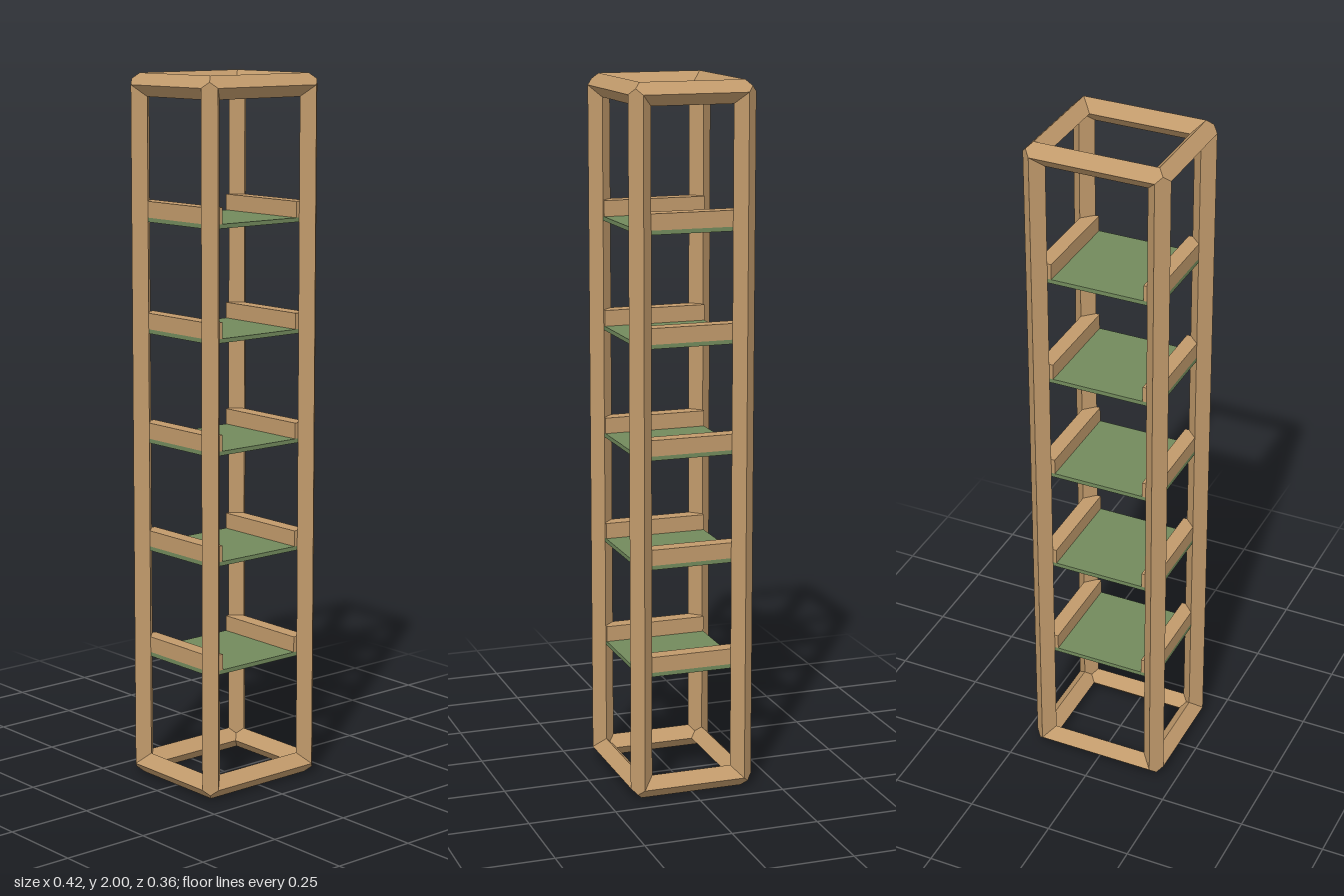
import * as THREE from 'three';
import { ConvexGeometry } from 'three/addons/geometries/ConvexGeometry.js';

const R = 0.032;                       // half diagonal of the diamond bars
const X = 0.176, Z = 0.149;            // bar centre lines
const Y0 = R, Y1 = 2 - R;

const wood = new THREE.MeshStandardMaterial({ color: 0xc19a6b, flatShading: true });
const green = new THREE.MeshStandardMaterial({ color: 0x728a5c, flatShading: true });

// Corner points of a rhombic dodecahedron, the joint where diamond bars meet
function jointPoints(c) {
  const pts = [];
  for (const s of [-1, 1]) {
    pts.push(new THREE.Vector3(s * R, 0, 0), new THREE.Vector3(0, s * R, 0), new THREE.Vector3(0, 0, s * R));
    for (const t of [-1, 1]) for (const u of [-1, 1]) {
      pts.push(new THREE.Vector3(s, t, u).multiplyScalar(R / 2));
    }
  }
  return pts.map((p) => p.add(c));
}

// Diamond-section bar spanning two joints
function bar(name, a, b) {
  const points = [
    ...jointPoints(new THREE.Vector3(...a)),
    ...jointPoints(new THREE.Vector3(...b)),
  ];
  const mesh = new THREE.Mesh(new ConvexGeometry(points), wood);
  mesh.name = name;
  return mesh;
}

function box(name, size, pos, material) {
  const mesh = new THREE.Mesh(new THREE.BoxGeometry(...size), material);
  mesh.position.set(...pos);
  mesh.name = name;
  return mesh;
}

export function createModel() {
  const model = new THREE.Group();
  model.name = 'shelfTower';

  // Open frame: four posts, and a rectangle of bars at top and bottom
  const frame = new THREE.Group();
  frame.name = 'frame';
  for (const sx of [-1, 1]) for (const sz of [-1, 1]) {
    frame.add(bar('post', [sx * X, Y0, sz * Z], [sx * X, Y1, sz * Z]));
  }
  for (const [level, y] of [['bottom', Y0], ['top', Y1]]) {
    for (const s of [-1, 1]) {
      frame.add(bar(level + 'CrossBar', [-X, y, s * Z], [X, y, s * Z]));
      frame.add(bar(level + 'SideBar', [s * X, y, -Z], [s * X, y, Z]));
    }
  }
  model.add(frame);

  // Five thin shelves, each with a rail along both sides
  const boardH = 0.012, railH = 0.045, railIn = 0.133;
  for (let i = 0; i < 5; i++) {
    const shelf = new THREE.Group();
    shelf.name = 'shelf';
    shelf.position.y = 0.354 + i * 0.31;
    shelf.add(box('board', [2 * X, boardH, 2 * Z], [0, boardH / 2, 0], green));
    for (const s of [-1, 1]) {
      shelf.add(box('sideRail', [X - railIn, railH, 2 * Z],
        [s * (X + railIn) / 2, boardH + railH / 2, 0], wood));
    }
    model.add(shelf);
  }
  return model;
}
